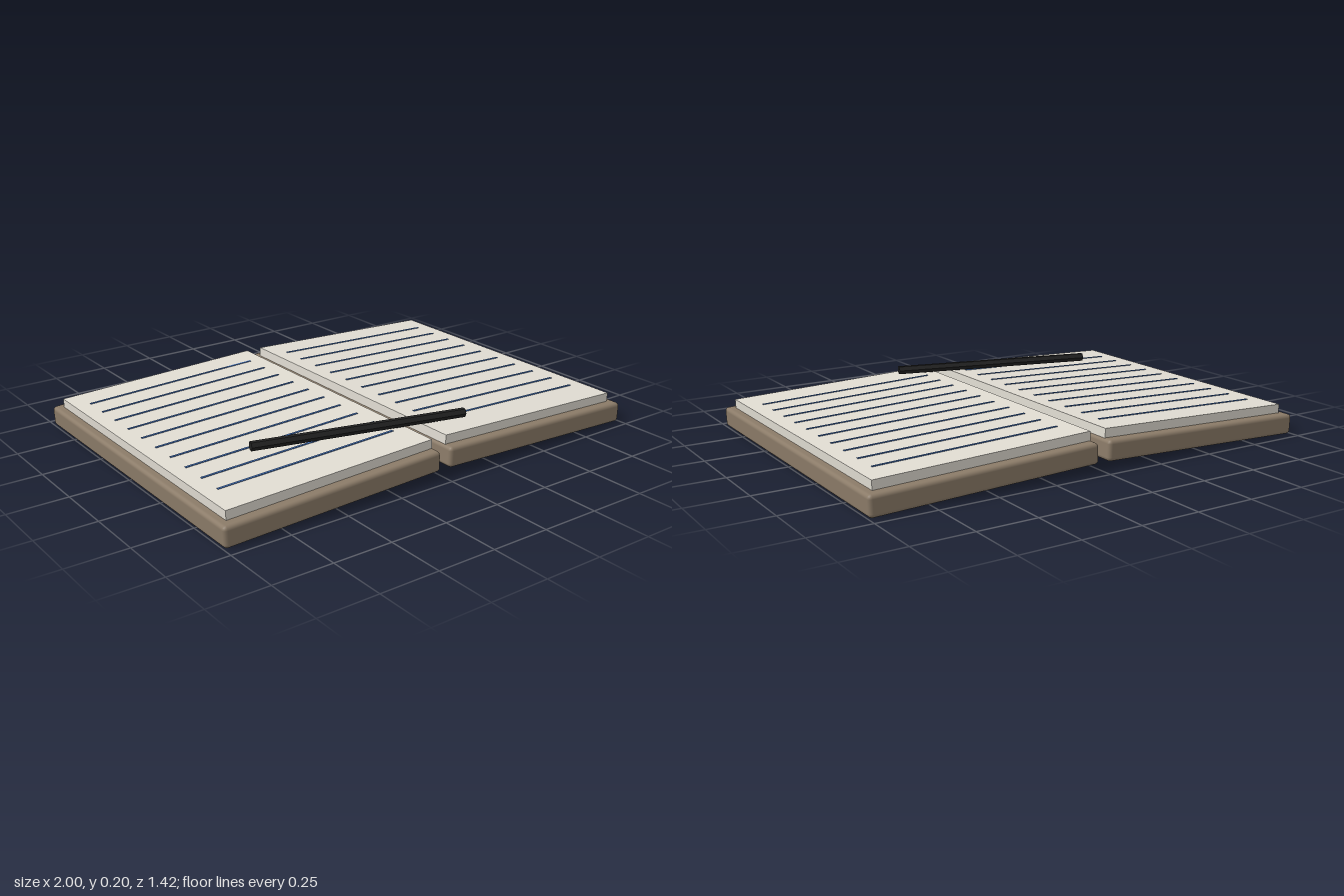
import * as THREE from 'three';
import { RoundedBoxGeometry } from 'three/addons/geometries/RoundedBoxGeometry.js';

const TILT = 0.035; // each half slopes down away from the spine

const paint = (color) => new THREE.MeshStandardMaterial({ color });

function addMesh(parent, name, geometry, material, x, y, z) {
  const mesh = new THREE.Mesh(geometry, material);
  mesh.name = name;
  mesh.position.set(x, y, z);
  parent.add(mesh);
  return mesh;
}

export function createModel() {
  const book = new THREE.Group();
  book.name = 'openNotebook';

  const coverPaint = paint(0x8b7b68);
  const paperPaint = paint(0xe0dcd2);
  const linePaint = paint(0x4472b8);
  const penPaint = paint(0x222222);

  const coverShape = new RoundedBoxGeometry(0.976, 0.086, 1.42, 2, 0.016);
  const pageShape = new THREE.BoxGeometry(0.93, 0.055, 1.33);
  const lineShape = new THREE.BoxGeometry(0.8, 0.004, 0.01);

  // Two mirrored halves: cover, page block and ruled lines
  for (const side of [-1, 1]) {
    const half = new THREE.Group();
    half.name = side > 0 ? 'leftHalf' : 'rightHalf';
    half.position.set(side * 0.511, 0.059, 0);
    half.rotation.z = -side * TILT;
    book.add(half);

    addMesh(half, 'cover', coverShape, coverPaint, 0, 0, 0);
    addMesh(half, 'pages', pageShape, paperPaint, -side * 0.013, 0.0535, 0);
    for (let i = 0; i < 10; i++) {
      addMesh(half, 'ruledLine', lineShape, linePaint, -side * 0.013, 0.0815, -0.535 + i * 0.1155);
    }
  }

  // Hexagonal pen lying across the spine
  const penShape = new THREE.CylinderGeometry(0.0195, 0.0195, 0.906, 6).toNonIndexed();
  penShape.computeVertexNormals();
  penShape.rotateZ(Math.PI / 2);
  const pen = addMesh(book, 'pen', penShape, penPaint, -0.225, 0.18, 0.462);
  pen.rotation.y = -0.24;

  return book;
}
